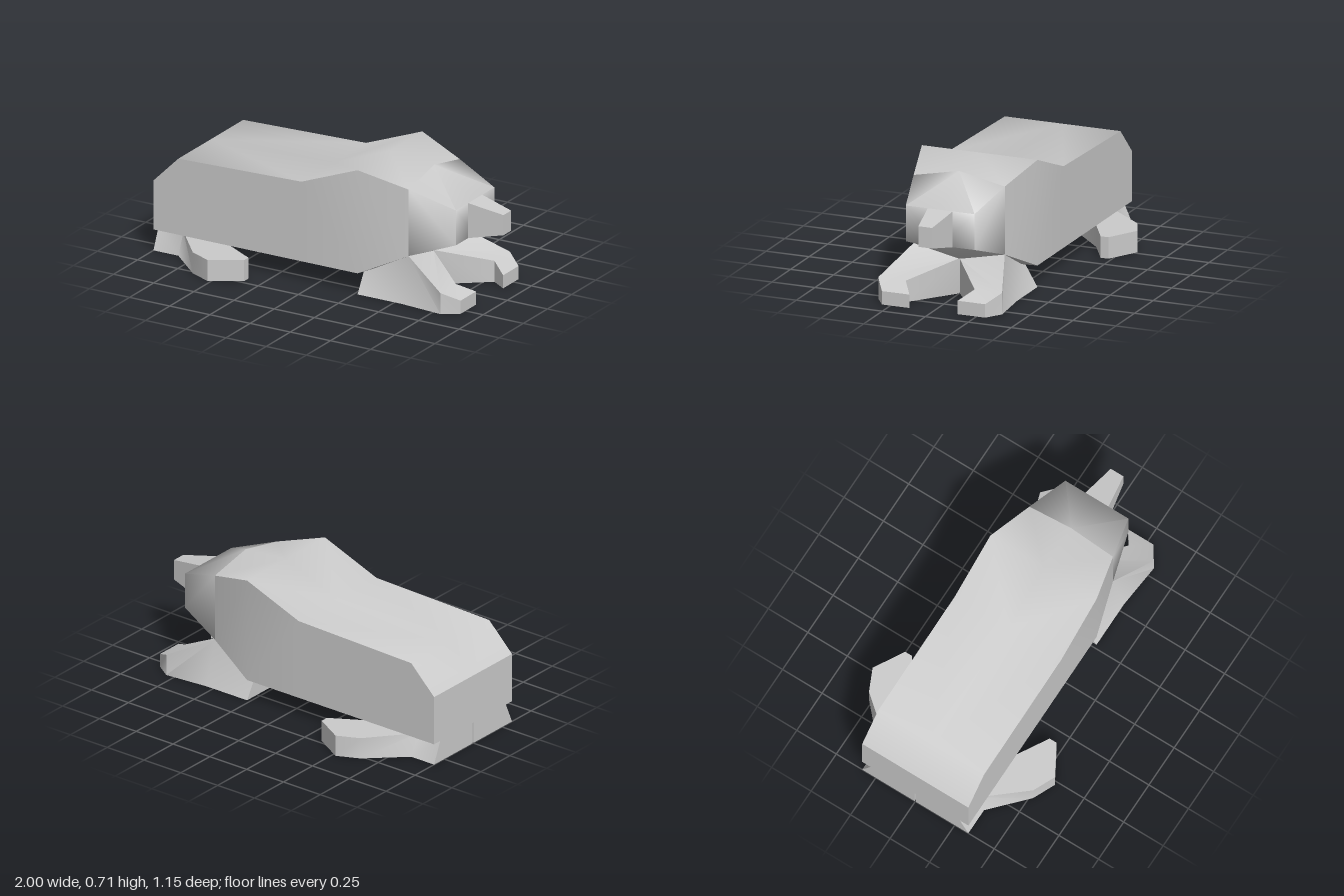
import * as THREE from 'three';
import { toCreasedNormals } from 'three/addons/utils/BufferGeometryUtils.js';

const material = new THREE.MeshStandardMaterial({ color: 0xcccccc });

// Skins a row of rings running towards +x, each counterclockwise seen from +x.
// Soft bends are smoothed up to the crease angle; side -1 mirrors across z = 0.
function loft(name, rings, { crease = 0.78, side = 1 } = {}) {
  const n = rings[0].length;
  const last = (rings.length - 1) * n;
  const index = [];
  for (let i = 0; i < rings.length - 1; i++) {
    for (let j = 0; j < n; j++) {
      const a = i * n + j, b = i * n + (j + 1) % n;
      // The second half of the ring uses the other diagonal, for symmetry
      if (j < n / 2) index.push(a, b, a + n, b, b + n, a + n);
      else index.push(a, b, b + n, a, b + n, a + n);
    }
  }
  for (let j = 1; j < n - 1; j++) {
    index.push(0, j + 1, j, last, last + j, last + j + 1);
  }
  if (side < 0) index.reverse();
  const points = rings.flat().flatMap(([x, y, z]) => [x, y, z * side]);
  const geometry = new THREE.BufferGeometry();
  geometry.setAttribute('position', new THREE.Float32BufferAttribute(points, 3));
  geometry.setIndex(index);
  const mesh = new THREE.Mesh(toCreasedNormals(geometry, crease), material);
  mesh.name = name;
  return mesh;
}

// Six-sided torso section: low and high corners plus raised or lowered centres.
const section = (x, half, low, high, lowMid = low, highMid = high) => [
  [x, lowMid, 0], [x, low, -half], [x, high, -half],
  [x, highMid, 0], [x, high, half], [x, low, half],
];

// Leg section: [x, z, height] of its outer and inner wall, standing on the floor.
const legSection = (outer, inner, outerFootZ = outer[1]) => [
  [outer[0], 0, outerFootZ], [inner[0], 0, inner[1]],
  [inner[0], inner[2], inner[1]], [outer[0], outer[2], outer[1]],
];

export function createModel() {
  const model = new THREE.Group();
  model.name = 'lyingAnimal';

  const neck = section(0.545, 0.265, 0.25, 0.63, 0.195, 0.685);

  // Torso, from rump to shoulders
  model.add(loft('torso', [
    section(-1, 0.336, 0.12, 0.4),
    section(-0.845, 0.336, 0.12, 0.555),
    section(-0.08, 0.336, 0.12, 0.575),
    section(0.27, 0.336, 0.12, 0.71),
    neck,
  ]));

  // Rounded, tapering head
  model.add(loft('head', [neck, section(0.8, 0.2, 0.34, 0.54)], { crease: 1.4 }));

  // Muzzle
  model.add(loft('muzzle', [
    section(0.8, 0.073, 0.34, 0.54),
    section(1, 0.04, 0.385, 0.5),
  ]));

  // Legs lean inward where they meet the body
  const frontLeg = [
    legSection([0.27, 0.265, 0.12], [0.27, 0.004, 0.12], 0.336),
    legSection([0.545, 0.265, 0.25], [0.545, 0.004, 0.195], 0.336),
    legSection([0.8, 0.36, 0.12], [0.8, 0.2, 0.12]),
    legSection([0.89, 0.3, 0.075], [0.89, 0.14, 0.075]),
  ];
  const rearLeg = [
    legSection([-1, 0.283, 0.12], [-1, 0.004, 0.12], 0.336),
    legSection([-0.845, 0.283, 0.12], [-0.85, 0.004, 0.12], 0.336),
    legSection([-0.645, 0.52, 0.12], [-0.64, 0.22, 0.12]),
    legSection([-0.52, 0.577, 0.12], [-0.52, 0.336, 0.12]),
    legSection([-0.35, 0.48, 0.12], [-0.35, 0.435, 0.12]),
  ];

  for (const side of [1, -1]) {
    const suffix = side > 0 ? 'A' : 'B';
    model.add(loft('frontLeg' + suffix, frontLeg, { side }));
    model.add(loft('rearLeg' + suffix, rearLeg, { side }));
  }
  return model;
}
